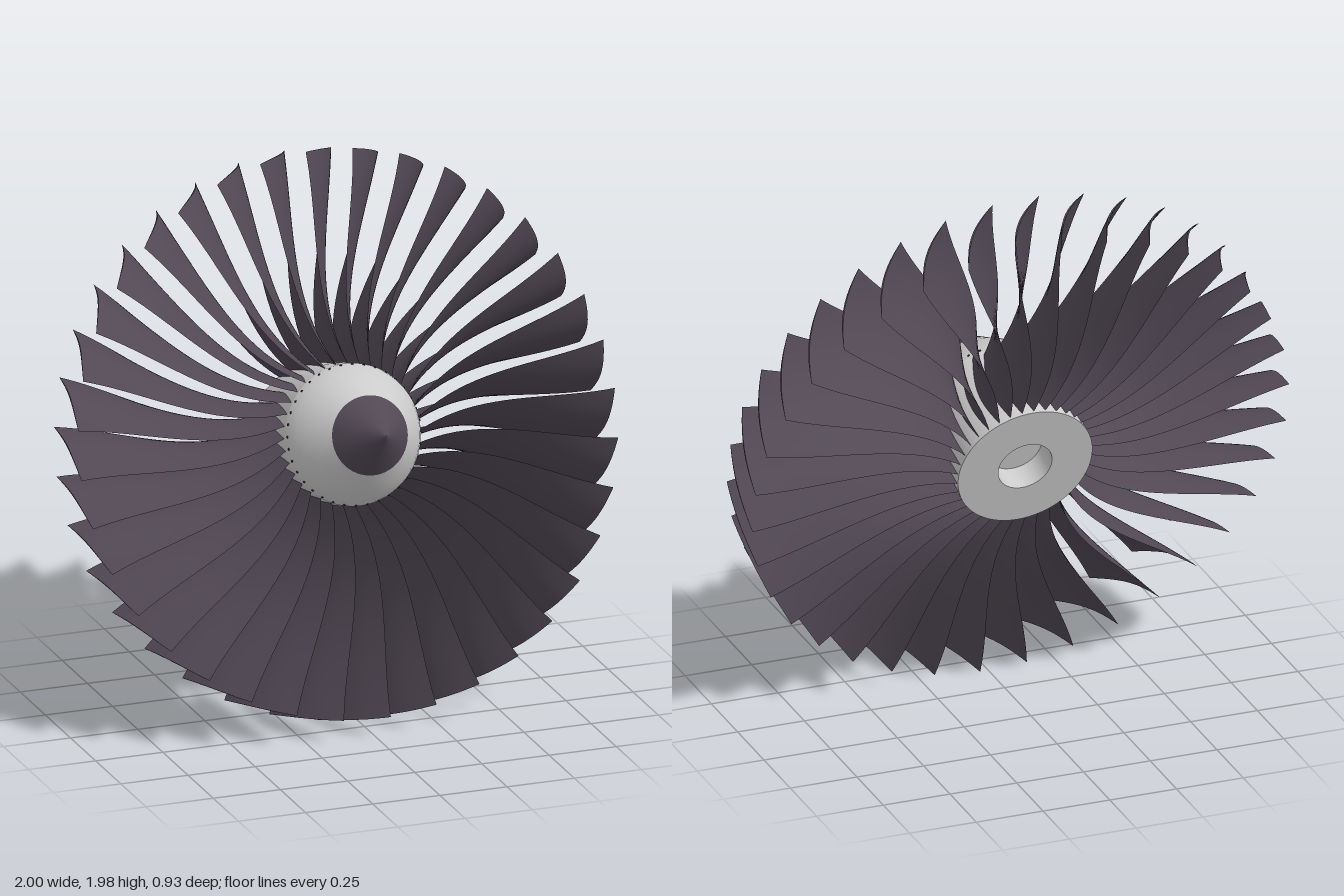
import * as THREE from 'three';
import { mergeGeometries } from 'three/addons/utils/BufferGeometryUtils.js';

const BLADES = 36;
const STEP = (Math.PI * 2) / BLADES;
const HUB_R = 0.25;

const grey = new THREE.MeshStandardMaterial({ color: 0xcccccc });
const dark = new THREE.MeshStandardMaterial({ color: 0x514854 });
const black = new THREE.MeshStandardMaterial({ color: 0x222024 });

// Turned part along +z; each run of [radius, z] points is smooth, runs meet at sharp edges
function turned(name, material, runs) {
  const parts = runs.map((run) =>
    new THREE.LatheGeometry(run.map(([r, z]) => new THREE.Vector2(r, z)), 64).rotateX(Math.PI / 2));
  const mesh = new THREE.Mesh(mergeGeometries(parts), material);
  mesh.name = name;
  return mesh;
}

// Point on the blade: c = 0..1 leading to trailing edge, s = 0..1 root to tip,
// side = +1 convex front face, -1 concave back face
function bladePoint(c, s, side, out) {
  const { lerp } = THREE.MathUtils;
  const r = lerp(0.235, 0.998, s);
  const halfAxial = lerp(0.163, 0.129, Math.pow(s, 1.5));
  const halfTurn = lerp(0.01, 0.093, s);
  const arch = Math.sin(Math.PI * c);
  const bulge = arch * (lerp(0.022, 0.028, s) + side * lerp(0.007, 0.003, s));
  const len = Math.hypot(halfAxial, halfTurn);
  // S-shaped lean along the span: back at the root, forward at a third, none at the tip
  const lean = 0.25 * s * (1 - s) ** 2 - 0.02 * (1 - s) ** 4;
  const across = (2 * c - 1) * halfTurn + (bulge * halfAxial) / len - lean;
  const z = (1 - 2 * c) * halfAxial + (bulge * halfTurn) / len;
  const a = across / r;
  return out.set(r * Math.sin(a), r * Math.cos(a), z);
}

// Bend a unit grid by a rule (u, v) -> point
function sheet(nu, nv, rule) {
  const geo = new THREE.PlaneGeometry(1, 1, nu, nv);
  const pos = geo.attributes.position;
  const p = new THREE.Vector3();
  for (let i = 0; i < pos.count; i++) {
    rule(pos.getX(i) + 0.5, pos.getY(i) + 0.5, p);
    pos.setXYZ(i, p.x, p.y, p.z);
  }
  geo.computeVertexNormals();
  return geo;
}

function bladeGeometry() {
  return mergeGeometries([
    sheet(12, 20, (u, v, p) => bladePoint(u, v, 1, p)),
    sheet(12, 20, (u, v, p) => bladePoint(1 - u, v, -1, p)),
    sheet(12, 1, (u, v, p) => bladePoint(u, 1, 1 - 2 * v, p)), // tip cap
  ]);
}

export function createModel() {
  const model = new THREE.Group();
  model.name = 'fan';

  // Everything turns about one axis, tipped upwards at the front
  const rotor = new THREE.Group();
  rotor.name = 'rotor';
  rotor.position.set(0, 0.9975, -0.0325);
  rotor.rotation.x = -THREE.MathUtils.degToRad(18);
  model.add(rotor);

  // Hub drum with a blind shaft hole at the back
  rotor.add(turned('hub', grey, [
    [[0, -0.07], [0.1, -0.07]],
    [[0.1, -0.07], [0.1, -0.172]],
    [[0.1, -0.172], [HUB_R, -0.172]],
    [[HUB_R, -0.172], [HUB_R, 0.175]],
  ]));

  // Spinner: grey shell and dark nose cone
  rotor.add(turned('spinner', grey, [
    [[HUB_R, 0.175], [0.243, 0.2], [0.228, 0.233], [0.205, 0.27], [0.175, 0.312], [0.14, 0.355]],
  ]));
  rotor.add(turned('noseCone', dark, [
    [[0.14, 0.355], [0.1, 0.408], [0.05, 0.469], [0.012, 0.517], [0, 0.526]],
  ]));

  // Blades
  const blades = new THREE.Group();
  blades.name = 'blades';
  const geo = bladeGeometry();
  for (let i = 0; i < BLADES; i++) {
    const blade = new THREE.Mesh(geo, dark);
    blade.name = 'blade';
    blade.rotation.z = i * STEP - 0.05;
    blades.add(blade);
  }
  rotor.add(blades);

  // Ring of small bolts round the spinner rim
  const bolts = new THREE.Group();
  bolts.name = 'bolts';
  const boltGeo = new THREE.SphereGeometry(0.0045, 8, 6);
  for (let i = 0; i < BLADES; i++) {
    const a = (i + 0.5) * STEP;
    const bolt = new THREE.Mesh(boltGeo, black);
    bolt.name = 'bolt';
    bolt.position.set(0.246 * Math.cos(a), 0.246 * Math.sin(a), 0.189);
    bolts.add(bolt);
  }
  rotor.add(bolts);

  return model;
}
